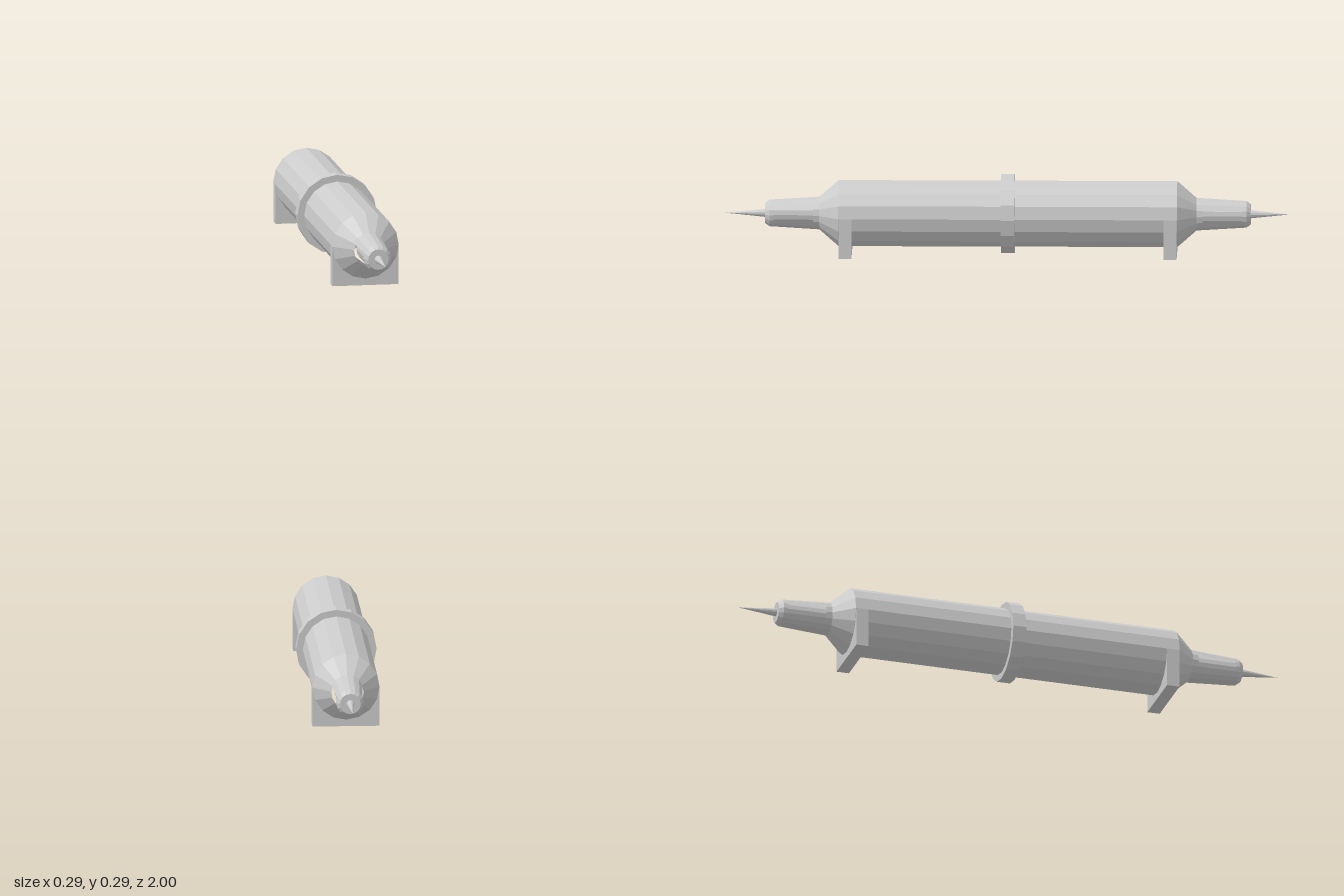
import * as THREE from 'three';

const AXIS_Y = 0.143; // height of the long axis
const SIDES = 16;

const material = new THREE.MeshStandardMaterial({ color: 0xcccccc, flatShading: true });
const thinMaterial = new THREE.MeshStandardMaterial({ color: 0xcccccc, flatShading: true, side: THREE.DoubleSide });

function add(parent, name, geometry, mat = material) {
  const mesh = new THREE.Mesh(geometry, mat);
  mesh.name = name;
  parent.add(mesh);
  return mesh;
}

// Turn a profile of [radius, z] pairs around the z axis
function turned(profile, sides = SIDES, start = 0, length = Math.PI * 2) {
  const points = profile.map(([r, z]) => new THREE.Vector2(r, z));
  return new THREE.LatheGeometry(points, sides, start, length).rotateX(Math.PI / 2);
}

// Foot plate whose upper edge follows the underside of the body
function footGeometry() {
  const w = 0.119;
  const shape = new THREE.Shape();
  shape.moveTo(-w, 0);
  shape.lineTo(w, 0);
  for (let i = 0; i <= SIDES / 2; i++) {
    const a = (-i / SIDES) * Math.PI * 2;
    shape.lineTo(w * Math.cos(a), AXIS_Y + w * Math.sin(a));
  }
  shape.closePath();
  return new THREE.ExtrudeGeometry(shape, { depth: 0.046, bevelEnabled: false });
}

// One end: shoulder, slotted nozzle, core, needle
function createEnd() {
  const end = new THREE.Group();
  const r0 = 0.059, z0 = 0.668, r1 = 0.048, z1 = 0.845;
  const radiusAt = (z) => r0 + ((r1 - r0) * (z - z0)) / (z1 - z0);
  const slotBack = 0.69, slotFront = 0.83;

  add(end, 'shoulder', turned([[0.119, 0.6], [r0, z0]]));
  add(end, 'nozzleBase', turned([[r0, z0], [radiusAt(slotBack), slotBack]]), thinMaterial);
  add(end, 'nozzleTip', turned([[radiusAt(slotFront), slotFront], [r1, z1], [0.037, 0.86], [0, 0.86]]), thinMaterial);

  // Upper and lower walls leave a slot two facets wide on each side
  const facet = (Math.PI * 2) / SIDES;
  for (const [name, first] of [['nozzleWallUpper', 5], ['nozzleWallLower', -3]]) {
    add(end, name, turned(
      [[radiusAt(slotBack), slotBack], [radiusAt(slotFront), slotFront]],
      6, first * facet, 6 * facet), thinMaterial);
  }

  add(end, 'nozzleCore', turned([[0.044, 0.66], [0.042, 0.85]]));
  add(end, 'needle', turned([[0.015, 0.855], [0, 1]], 12));
  return end;
}

export function createModel() {
  const model = new THREE.Group();
  model.name = 'doubleEndedTube';

  const tube = new THREE.Group();
  tube.name = 'tube';
  tube.position.y = AXIS_Y;
  model.add(tube);

  add(tube, 'body', turned([[0.119, -0.6], [0.119, 0.6]]));
  add(tube, 'middleRing', turned([
    [0.117, -0.024], [0.143, -0.024], [0.143, 0.024], [0.117, 0.024],
  ]));

  // Matching ends
  for (const [name, turn] of [['frontEnd', 0], ['backEnd', Math.PI]]) {
    const end = createEnd();
    end.name = name;
    end.rotation.y = turn;
    tube.add(end);
  }

  // Feet
  add(model, 'frontFoot', footGeometry()).position.z = 0.553;
  add(model, 'backFoot', footGeometry()).position.z = -0.599;

  return model;
}
